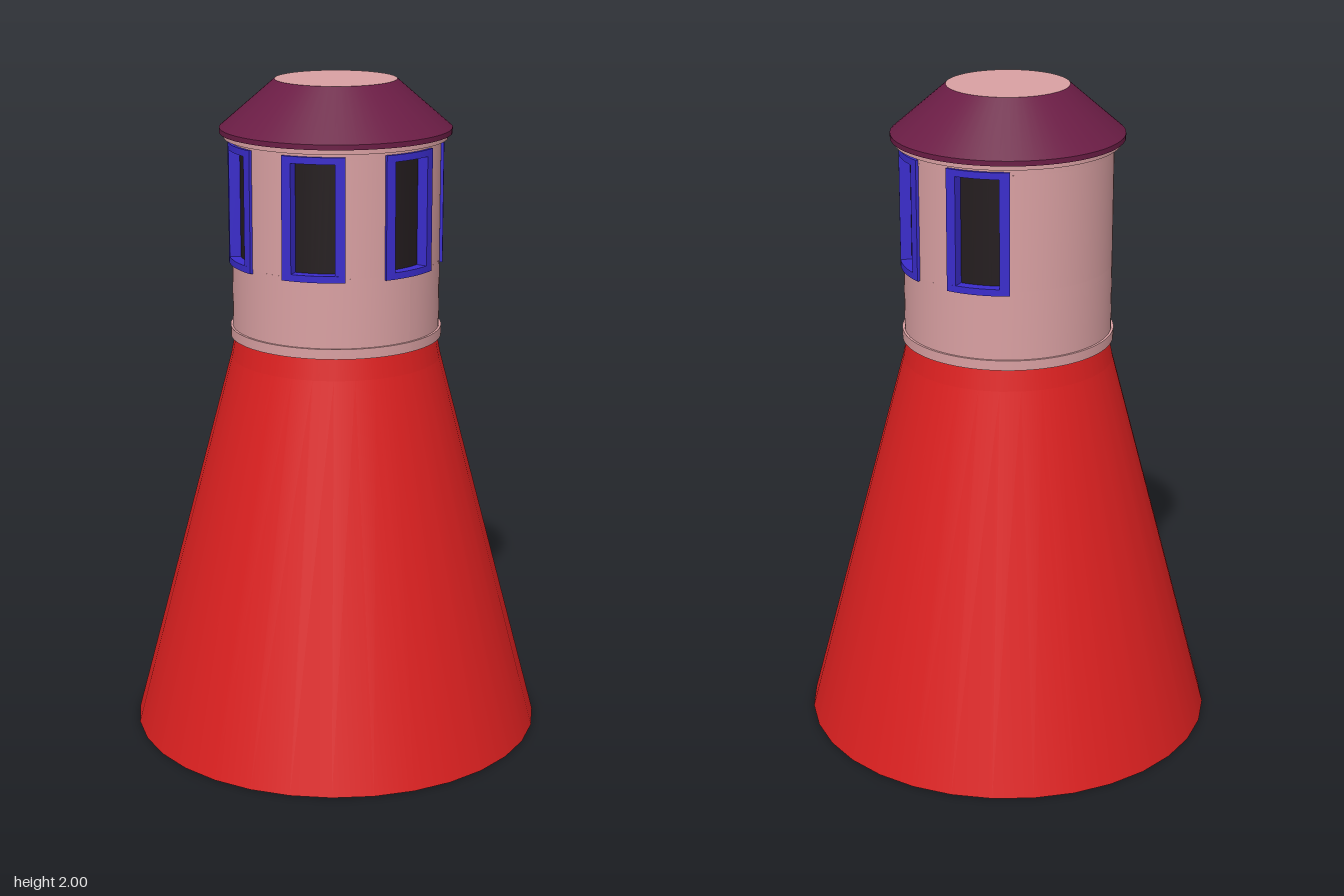
import * as THREE from 'three';

const mat = (color, side = THREE.FrontSide) => new THREE.MeshStandardMaterial({ color, side });
const rad = THREE.MathUtils.degToRad;

// Curved slab: a box bent around the y axis. Angles in degrees, 0 faces +z.
function bentBox(a0, a1, y0, y1, rIn, rOut) {
  const segs = Math.max(1, Math.round((a1 - a0) / 4));
  const geo = new THREE.BoxGeometry(a1 - a0, y1 - y0, rOut - rIn, segs, 1, 1);
  geo.translate((a0 + a1) / 2, (y0 + y1) / 2, (rIn + rOut) / 2);
  const p = geo.attributes.position;
  for (let i = 0; i < p.count; i++) {
    const a = rad(p.getX(i)), r = p.getZ(i);
    p.setXYZ(i, r * Math.sin(a), p.getY(i), r * Math.cos(a));
  }
  geo.computeVertexNormals();
  return geo;
}

export function createModel() {
  const model = new THREE.Group();
  model.name = 'tower';
  const red = mat(0xdc2020, THREE.DoubleSide);
  const pink = mat(0xd9a0a2);
  const purple = mat(0x6b1d45, THREE.DoubleSide);
  const blue = mat(0x3a2ccc);
  const dark = mat(0x231c1e);

  const add = (name, geo, material, parent = model) => {
    const mesh = new THREE.Mesh(geo, material);
    mesh.name = name;
    parent.add(mesh);
    return mesh;
  };
  const open = (rTop, rBottom, y0, y1, sides) =>
    new THREE.CylinderGeometry(rTop, rBottom, y1 - y0, sides, 1, true).translate(0, (y0 + y1) / 2, 0);

  // Flared hollow base with a short steeper collar
  add('base', open(0.317, 0.625, 0, 1.17, 32), red);
  add('baseCollar', open(0.303, 0.317, 1.17, 1.24, 32), red);

  // Cabin wall: solid below and above the windows, piers between them
  const R = 0.31, RI = 0.285, sill = 1.47, lintel = 1.81;
  const windowAngles = [-112, -56, 0, 56, 112];
  const half = 15;
  const wall = new THREE.Group();
  wall.name = 'cabinWall';
  model.add(wall);
  add('lowerWall', bentBox(0, 360, 1.235, sill, RI, R), pink, wall);
  add('upperWall', bentBox(0, 360, lintel, 1.845, RI, R), pink, wall);
  windowAngles.forEach((a, i) => {
    const next = i < 4 ? windowAngles[i + 1] : windowAngles[0] + 360;
    add('pier', bentBox(a + half, next - half, sill, lintel, RI, R), pink, wall);
  });
  add('bottomBand', bentBox(0, 360, 1.235, 1.265, 0.29, 0.317), pink);
  add('topBand', bentBox(0, 360, 1.83, 1.848, 0.29, 0.33), pink);

  // Windows: curved frame with a recessed dark pane
  for (const a of windowAngles) {
    const win = new THREE.Group();
    win.name = 'window';
    win.rotation.y = rad(a);
    model.add(win);
    const inner = 11.7, outer = 17, f0 = 0.283, f1 = 0.319;
    add('frameBottom', bentBox(-outer, outer, 1.46, 1.48, f0, f1), blue, win);
    add('frameTop', bentBox(-outer, outer, 1.80, 1.82, f0, f1), blue, win);
    for (const [s, e] of [[-outer, -inner], [inner, outer]])
      add('frameSide', bentBox(s, e, 1.48, 1.80, f0, f1), blue, win);
    add('pane', bentBox(-outer, outer, 1.465, 1.815, 0.28, 0.286), dark, win);
  }

  // Roof: thin rim, sloping sides and a flat pale top
  add('roofUnderside', new THREE.RingGeometry(0.29, 0.343, 64).rotateX(Math.PI / 2).translate(0, 1.845, 0), purple);
  add('roofRim', open(0.343, 0.343, 1.845, 1.86, 64), purple);
  add('roofSlope', open(0.18, 0.343, 1.86, 2, 64), purple);
  add('roofTop', new THREE.CircleGeometry(0.18, 64).rotateX(-Math.PI / 2).translate(0, 2, 0),
    mat(0xd9a0a2, THREE.DoubleSide));

  return model;
}
